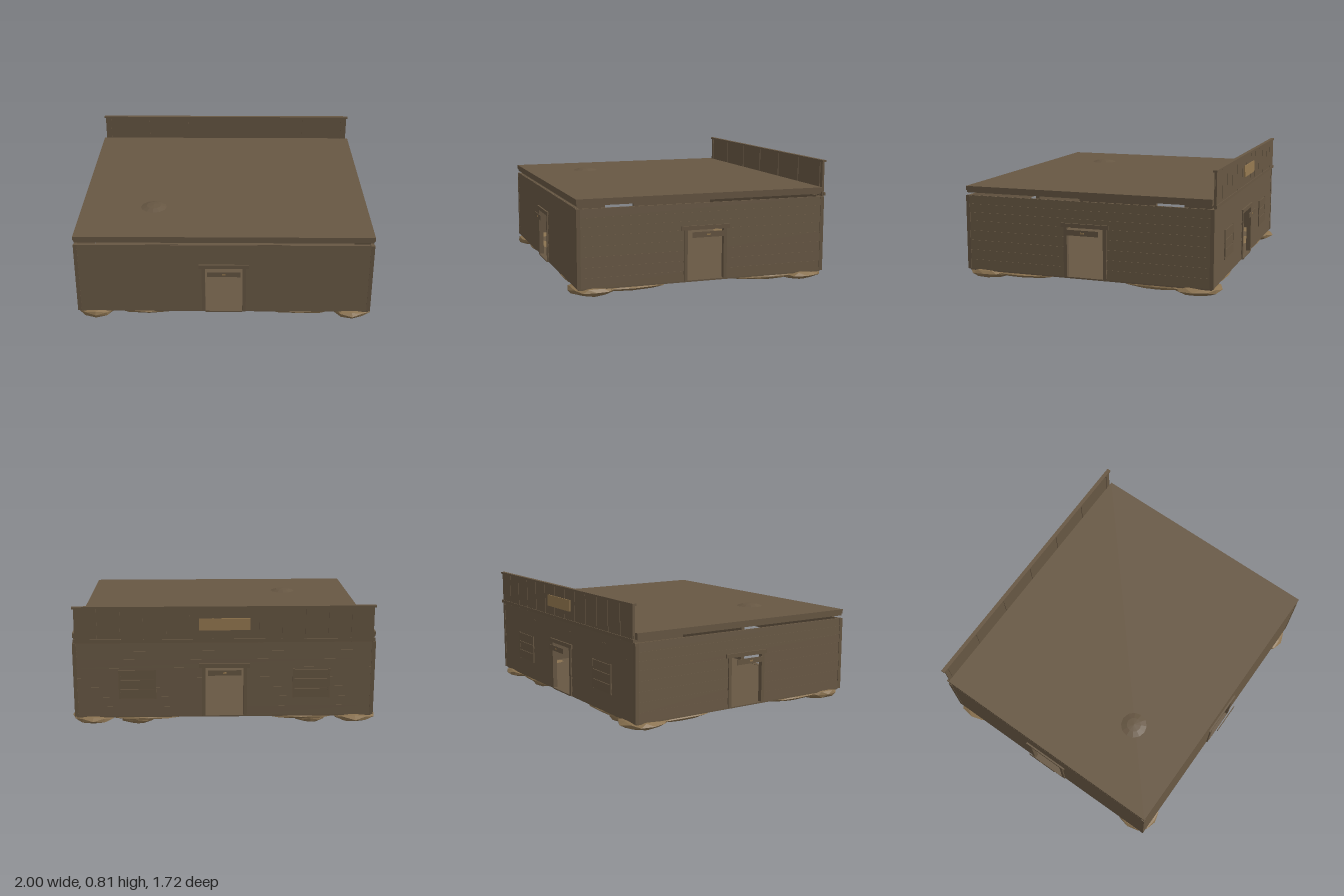
import * as THREE from 'three';

function material(name, color, extra = {}) {
  const m = new THREE.MeshStandardMaterial({ color, ...extra });
  m.name = name;
  return m;
}

export function createModel() {
  const model = new THREE.Group();
  model.name = 'timberHall';
  const wood = material('weatheredWood', 0x675743);
  const tan = material('paleBoard', 0x947850);
  const stone = material('fieldStone', 0x8a7250, { flatShading: true });

  const box = (parent, name, w, h, d, x, y, z, mat = wood) => {
    const mesh = new THREE.Mesh(new THREE.BoxGeometry(w, h, d), mat);
    mesh.position.set(x, y, z);
    mesh.name = name;
    parent.add(mesh);
    return mesh;
  };

  // Floor and flat roof, with an open gap above the walls
  box(model, 'floor', 1.88, 0.012, 1.62, 0, 0.096, 0);
  box(model, 'roofSlab', 1.9, 0.028, 1.627, 0, 0.631, 0.0075);
  box(model, 'roofTrim', 1.89, 0.014, 1.62, 0, 0.61, 0.0075);

  // One plank wall with a central doorway, facing +z before turning
  const doorHalf = 0.12, doorTop = 0.42, wallBase = 0.1, wallTop = 0.585;
  function wall(name, half, dist, turn, signDist) {
    const g = new THREE.Group();
    g.name = name;
    g.rotation.y = turn;
    const side = half - doorHalf;
    const row = (y, h, w, x) => {
      box(g, 'wallCore', w, h, 0.012, x, y, dist - 0.016);
      const plank = box(g, 'plank', w, h * 0.97, 0.008, x, y, dist - 0.006);
      plank.rotation.x = -0.08;
    };
    const lower = (doorTop - wallBase) / 5, upper = (wallTop - doorTop) / 3;
    for (let i = 0; i < 5; i++)
      for (const s of [-1, 1])
        row(wallBase + (i + 0.5) * lower, lower, side, s * (doorHalf + side / 2));
    for (let i = 0; i < 3; i++) row(doorTop + (i + 0.5) * upper, upper, 2 * half, 0);

    // Door frame
    for (const s of [-1, 1])
      box(g, 'doorJamb', 0.022, doorTop - wallBase, 0.03, s * 0.131, (doorTop + wallBase) / 2, dist - 0.008);
    box(g, 'doorLintel', 0.32, 0.026, 0.022, 0, doorTop + 0.013, dist - 0.002);
    box(g, 'threshold', 0.24, 0.008, 0.04, 0, 0.1, dist - 0.012);

    // Thin board in front of the doorway
    box(g, 'doorSign', 0.21, 0.035, 0.004, 0, 0.397, signDist - 0.002);
    box(g, 'doorSignPlate', 0.024, 0.01, 0.002, 0, 0.397, signDist, tan);
    model.add(g);
    return g;
  }
  wall('frontWall', 0.95, 0.82, 0, 0.861);
  const back = wall('backWall', 0.95, 0.82, Math.PI, 0.861);
  wall('leftWall', 0.81, 0.95, Math.PI / 2, 0.999);
  wall('rightWall', 0.81, 0.95, -Math.PI / 2, 0.999);

  // Corner posts
  for (const x of [-1, 1])
    for (const z of [-1, 1])
      box(model, 'cornerPost', 0.024, wallTop - wallBase, 0.024, x * 0.939, (wallTop + wallBase) / 2, z * 0.809);

  // Boarded windows on the back wall
  for (const s of [-1, 1]) {
    for (let i = 0; i < 3; i++)
      box(back, 'windowBoard', 0.22, 0.058, 0.006, s * 0.55, 0.25 + i * 0.063, 0.822);
    for (const e of [-1, 1])
      box(back, 'windowJamb', 0.012, 0.19, 0.008, s * 0.55 + e * 0.112, 0.313, 0.822);
  }

  // Tall false front standing on the back edge
  const parapet = new THREE.Group();
  parapet.name = 'parapet';
  box(parapet, 'parapetPanel', 1.87, 0.23, 0.008, 0, 0.7, -0.817);
  const boards = 13, step = 1.87 / boards;
  for (let i = 0; i < boards; i++)
    box(parapet, 'parapetBoard', step - 0.006, 0.228, 0.008, -0.935 + (i + 0.5) * step, 0.7, -0.824);
  for (let i = 0; i < 7; i++)
    box(parapet, 'parapetBatten', 0.012, 0.225, 0.006, -0.9 + i * 0.3, 0.7, -0.811);
  box(parapet, 'parapetCap', 1.89, 0.013, 0.026, 0, 0.8125, -0.82);
  box(parapet, 'parapetFootRail', 1.89, 0.02, 0.012, 0, 0.6, -0.827);
  const sign = box(parapet, 'parapetSign', 0.32, 0.075, 0.009, 0, 0.705, -0.832, tan);
  sign.rotation.x = 0.04;
  model.add(parapet);

  // Low dome poking through the roof
  const dome = new THREE.Mesh(new THREE.SphereGeometry(1, 12, 8), material('domeWood', 0x675743, { flatShading: true }));
  dome.scale.set(0.125, 0.06, 0.125);
  dome.position.set(-0.47, 0.602, 0.4);
  dome.name = 'roofDome';
  model.add(dome);

  // Uneven stones under the corners and edges
  function rock(seed, x, y, z, rx, ry, rz) {
    const geo = new THREE.IcosahedronGeometry(1, 1);
    const p = geo.attributes.position, v = new THREE.Vector3();
    for (let i = 0; i < p.count; i++) {
      v.fromBufferAttribute(p, i);
      const k = 0.94 + 0.07 * Math.sin(v.x * 5 + seed * 2.1) * Math.cos(v.z * 4 - seed) + 0.03 * Math.sin(v.y * 6 + seed);
      p.setXYZ(i, v.x * k * rx, v.y * k * ry, v.z * k * rz);
    }
    geo.computeVertexNormals();
    const mesh = new THREE.Mesh(geo, stone);
    mesh.position.set(x, y, z);
    mesh.name = 'foundationStone';
    model.add(mesh);
  }
  let seed = 1;
  for (const x of [-1, 1])
    for (const z of [-1, 1]) {
      rock(seed++, x * 0.835, 0.074, z * 0.7, 0.15, 0.042, 0.165);
      rock(seed++, x * 0.49, 0.082, z * 0.73, 0.28, 0.027, 0.09);
      rock(seed++, x * 0.86, 0.08, z * 0.46, 0.09, 0.027, 0.26);
      if (z < 0) rock(seed++, x * 0.56, 0.052, -0.67, 0.12, 0.05, 0.1);
    }

  return model;
}
